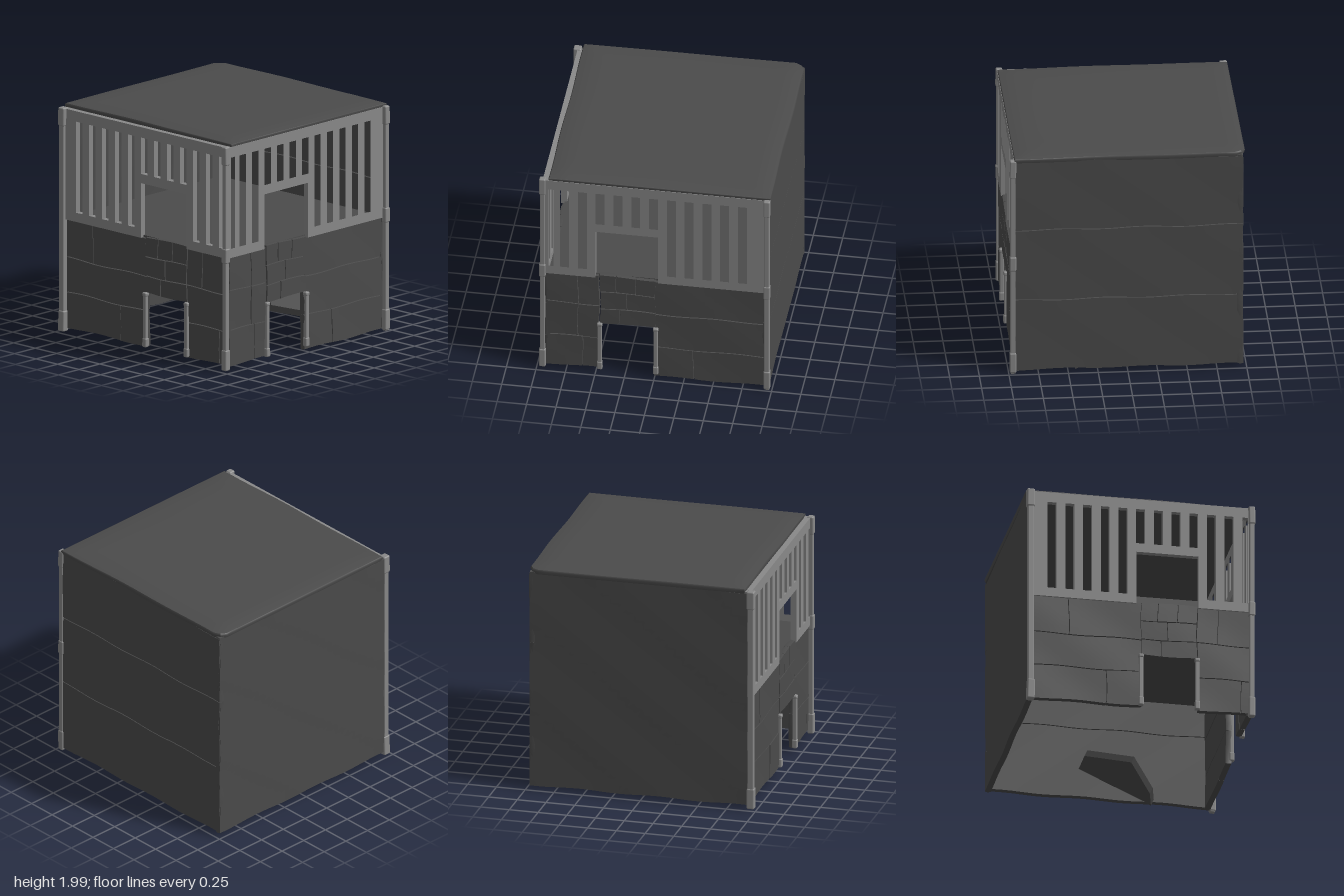
import * as THREE from 'three';
import { RoundedBoxGeometry } from 'three/addons/geometries/RoundedBoxGeometry.js';

const paint = new THREE.MeshStandardMaterial({ color: 0x898989 });
const stone = new THREE.MeshStandardMaterial({ color: 0x4b4b4b });

let seed = 7;
const jitter = (a) => {
  seed = (seed * 16807) % 2147483647;
  return (seed / 2147483647 - 0.5) * 2 * a;
};

function add(parent, name, geometry, material, x = 0, y = 0, z = 0) {
  const mesh = new THREE.Mesh(geometry, material);
  mesh.name = name;
  mesh.position.set(x, y, z);
  parent.add(mesh);
  return mesh;
}

// A group whose local +z looks outward from one side of the hut
function side(parent, name, turn) {
  const g = new THREE.Group();
  g.name = name;
  g.rotation.y = turn;
  parent.add(g);
  return g;
}

// One worn stone block with soft rims; neighbours share the same wavy joint
function block(g, x0, y0, x1, y1, face) {
  const w = x1 - x0, h = y1 - y0, d = 0.05;
  const geo = new THREE.BoxGeometry(w, h, d, Math.ceil(w * 14), Math.ceil(h * 14), 2);
  const p = geo.attributes.position;
  const cx = (x0 + x1) / 2, cy = (y0 + y1) / 2;
  for (let i = 0; i < p.count; i++) {
    const z = p.getZ(i);
    const inset = Math.abs(z) > 0.01 ? 0.004 : 0;
    const x = cx + p.getX(i) * (1 - 2 * inset / w);
    const y = cy + p.getY(i) * (1 - 2 * inset / h);
    p.setXYZ(i, x + 0.005 * Math.sin(y * 13 + x * 3), y + 0.006 * Math.sin(x * 9 + y * 5),
      z + 0.002 * Math.sin(x * 6 + y * 8));
  }
  geo.computeVertexNormals();
  add(g, 'stoneBlock', geo, stone, 0, 0, face - d / 2 + jitter(0.002));
}

// Stacked courses over a recessed backing; each course is [y0, y1, x0, ...joints, x1]
function masonry(g, courses, face) {
  for (const [y0, y1, ...xs] of courses) {
    const end = xs[xs.length - 1];
    add(g, 'wallCore', new THREE.BoxGeometry(end - xs[0] - 0.02, y1 - y0 - 0.02, 0.03), stone,
      (xs[0] + end) / 2, (y0 + y1) / 2, face - 0.03);
    for (let i = 0; i + 1 < xs.length; i++) block(g, xs[i], y0, xs[i + 1], y1, face);
  }
}

function rectHole(shape, x, w, y0, y1) {
  const h = new THREE.Path();
  h.moveTo(x - w / 2, y0);
  h.lineTo(x - w / 2, y1);
  h.lineTo(x + w / 2, y1);
  h.lineTo(x + w / 2, y0);
  h.closePath();
  shape.holes.push(h);
}

// Slatted upper panel with a window notch; m = -1 mirrors it
function lattice(g, m, shift, face) {
  const at = (u) => m * (u + shift);
  const pts = [[-0.95 * m, 0.99], [at(-0.047), 0.99], [at(-0.047), 1.465], [at(0.483), 1.465],
    [at(0.483), 0.99], [0.95 * m, 0.99], [0.95 * m, 1.95], [-0.95 * m, 1.95]];
  const shape = new THREE.Shape(pts.map(([x, y]) => new THREE.Vector2(x, y)));
  for (let i = 0; i < 12; i++) {
    const u = Math.min(-0.765 + i * 0.151, 0.897 - shift);
    rectHole(shape, at(u), 0.076, i > 4 && i < 9 ? 1.545 : 1.07, 1.86);
  }
  add(g, 'slattedPanel', new THREE.ExtrudeGeometry(shape, { depth: 0.05, bevelEnabled: false }),
    paint, 0, 0, face - 0.05);
}

// Post with thicker sleeves; each sleeve is [y0, y1]
function post(parent, name, x, z, y0, y1, w, sleeves) {
  const g = new THREE.Group();
  g.name = name;
  g.position.set(x, 0, z);
  parent.add(g);
  add(g, 'shaft', new RoundedBoxGeometry(w, y1 - y0, w, 2, 0.008), paint, 0, (y0 + y1) / 2, 0);
  for (const [a, b] of sleeves) {
    const s = add(g, 'sleeve', new RoundedBoxGeometry(w * 1.28, b - a, w * 1.28, 2, 0.012),
      paint, 0, (a + b) / 2, 0);
    s.rotation.z = jitter(0.03);
  }
}

// Doorway posts and the small brickwork above the opening, from x0 to x1
function doorway(g, x0, x1, face) {
  const w = x1 - x0;
  masonry(g, [
    [0.52, 0.67, x0, x0 + w * 0.35, x1],
    [0.67, 0.84, x0, x0 + w * 0.48, x1],
    [0.84, 1.01, x0, x0 + w * 0.3, x0 + w * 0.65, x1],
  ], face + 0.004);
  for (const x of [x0, x1])
    post(g, 'doorPost', x, face + 0.005, 0.05, 0.52, 0.036, [[0.05, 0.13], [0.49, 0.525]]);
}

export function createModel() {
  const hut = new THREE.Group();
  hut.name = 'hut';

  // Front: doorway, two stone piers, slatted panel
  const front = side(hut, 'frontWall', 0);
  masonry(front, [
    [0.05, 0.36, -0.95, -0.3, 0],
    [0.36, 0.66, -0.95, 0],
    [0.66, 1.0, -0.95, -0.62, 0],
  ], 0.935);
  masonry(front, [
    [0.05, 0.35, 0.475, 0.85, 0.94],
    [0.35, 0.67, 0.475, 0.94],
    [0.67, 1.0, 0.475, 0.65, 0.94],
  ], 0.935);
  doorway(front, -0.005, 0.475, 0.935);
  lattice(front, 1, 0, 0.95);

  // Left-hand side (+x): same layout, mirrored
  const left = side(hut, 'leftWall', Math.PI / 2);
  masonry(left, [
    [0.05, 0.36, -0.92, -0.61, -0.47],
    [0.36, 0.7, -0.92, -0.65, -0.47],
    [0.7, 1.0, -0.92, -0.65, -0.47],
  ], 0.945);
  masonry(left, [
    [0.02, 0.32, -0.01, 0.33, 0.95],
    [0.32, 0.66, -0.01, 0.95],
    [0.66, 1.0, -0.01, 0.95],
  ], 0.945);
  doorway(left, -0.465, 0.01, 0.945);
  lattice(left, -1, 0.018, 0.955);

  // Solid back wall in broad courses, right wall in one worn sheet
  masonry(side(hut, 'backWall', Math.PI), [
    [0.04, 0.68, -0.95, 0.97],
    [0.68, 1.32, -0.95, 0.97],
    [1.32, 1.95, -0.95, 0.97],
  ], 0.972);
  masonry(side(hut, 'rightWall', -Math.PI / 2), [[0.045, 1.95, -0.97, 0.93]], 0.972);

  // Corner posts on the three open corners
  const sleeves = [[0.02, 0.2], [0.95, 1.08], [1.8, 1.96]];
  post(hut, 'cornerPost', 0.938, 0.952, 0.02, 1.95, 0.044, sleeves);
  post(hut, 'cornerPost', -0.95, 0.952, 0.02, 1.95, 0.052, [sleeves[0], sleeves[2]]);
  post(hut, 'cornerPost', 0.965, -0.957, 0.01, 1.95, 0.044, sleeves);

  // Upper floor
  add(hut, 'upperFloor', new THREE.BoxGeometry(1.86, 0.04, 1.86), stone, -0.01, 0.99, -0.01);

  // Broken slab sloping down inside the ground floor, outlined in plan
  const outline = [[0.48, 0.93], [0.43, 0.74], [0.18, 0.38], [-0.2, 0.66], [-0.2, 0.93]];
  const slabGeo = new THREE.ExtrudeGeometry(
    new THREE.Shape(outline.map(([x, y]) => new THREE.Vector2(x, y))),
    { depth: 0.06, bevelEnabled: false });
  slabGeo.rotateX(-Math.PI / 2);
  add(hut, 'fallenSlab', slabGeo, stone, 0, 0.218, 0).rotation.z = -0.43;

  // Roof slab: nearly flat, with a worn rim and one rounded back corner
  const roof = new THREE.BoxGeometry(1.94, 0.055, 1.885, 24, 2, 24);
  const p = roof.attributes.position;
  for (let i = 0; i < p.count; i++) {
    const x = p.getX(i), y = p.getY(i), z = p.getZ(i);
    const rim = Math.max(Math.abs(x) / 0.97, Math.abs(z) / 0.9425);
    const inset = Math.abs(y) > 0.01 && rim > 0.99 ? 0.992 : 1;
    const corner = x < -0.9 && z < -0.9 ? 0.97 : 1;
    const wave = 0.003 * Math.cos(x * 2.5) + 0.001 * Math.sin(z * 4);
    p.setXYZ(i, x * inset * corner + (x < 0 ? 0.006 * z : 0),
      y + (y > 0 ? wave - 0.016 * rim ** 16 - 0.004 * x : 0),
      z * inset * corner + 0.004 * Math.sin(x * 6));
  }
  roof.computeVertexNormals();
  add(hut, 'roof', roof, stone, -0.015, 1.968, -0.04);

  return hut;
}
